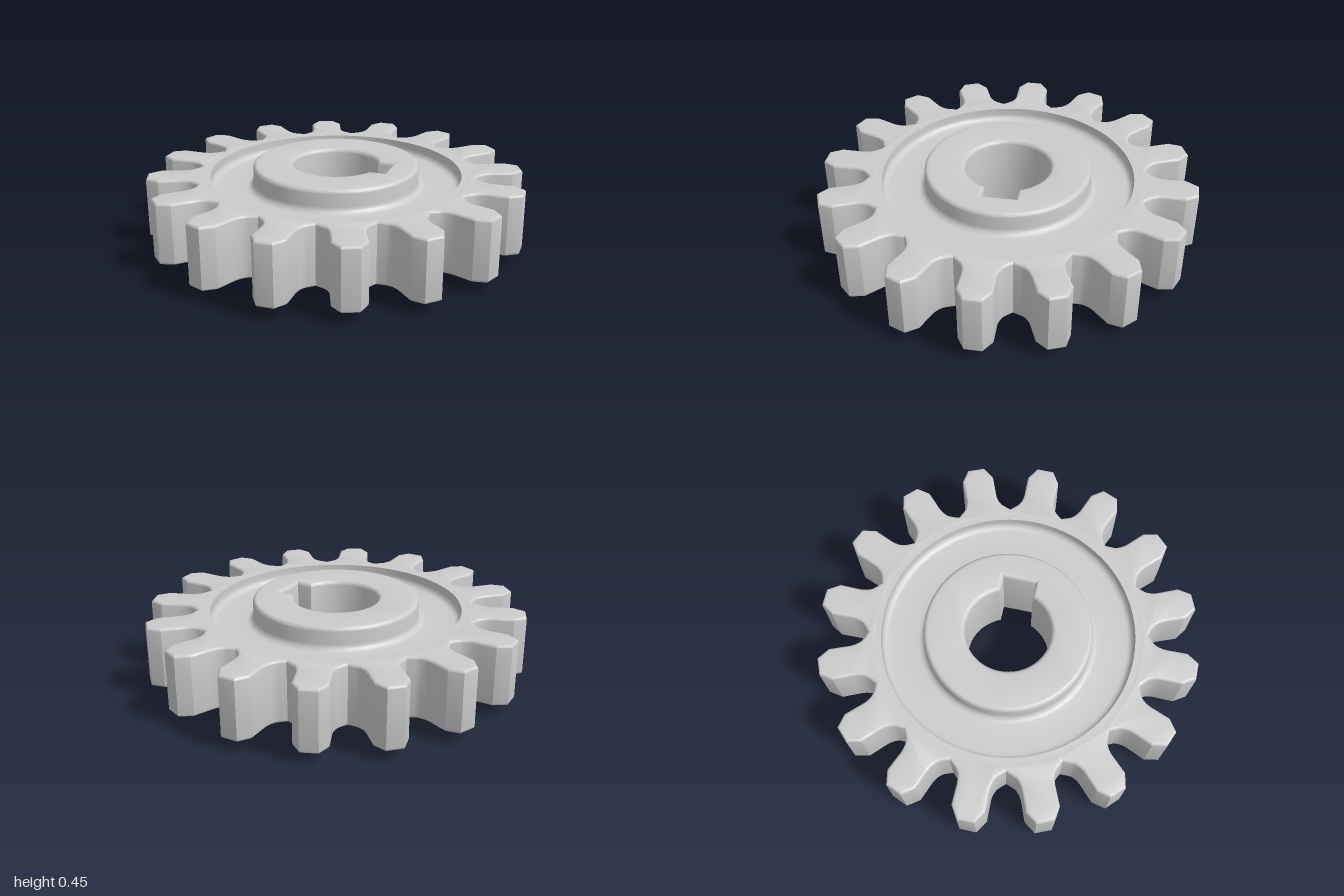
import * as THREE from 'three';
import { toCreasedNormals } from 'three/addons/utils/BufferGeometryUtils.js';

const TEETH = 16;
const SEGMENTS = 96;
const RIM_BOTTOM = 0.065, RIM_TOP = 0.39, HUB_TOP = 0.445;
const HUB_RADIUS = 0.44, BORE_RADIUS = 0.225;
const RECESS_RADIUS = 0.665, RECESS_DEPTH = 0.07, FILLET = 0.035;
const SEAM_RADIUS = 0.695;

// Points of an arc from angle a to angle b, both ends included
function arc(cx, cy, radius, a, b, steps) {
  return Array.from({ length: steps + 1 }, (_, i) => {
    const t = a + ((b - a) * i) / steps;
    return new THREE.Vector2(cx + radius * Math.cos(t), cy + radius * Math.sin(t));
  });
}

const circle = (radius) => arc(0, 0, radius, 0, Math.PI * 2, SEGMENTS).slice(0, -1);

// Upright plate between two heights, with rounded edges that keep the outline size
function plate(shape, bottom, top, bevel) {
  const geometry = new THREE.ExtrudeGeometry(shape, {
    depth: top - bottom - 2 * bevel,
    bevelThickness: bevel, bevelSize: bevel, bevelOffset: -bevel, bevelSegments: 4,
  });
  geometry.rotateX(-Math.PI / 2).translate(0, bottom + bevel, 0);
  return toCreasedNormals(geometry, 0.45);
}

// Closed outline of all the teeth: flat tip, slanted shoulders, curved flanks and roots
function toothOutline() {
  const halfPitch = Math.PI / TEETH;
  const rootRadius = 0.735;
  const flank = new THREE.SplineCurve([
    new THREE.Vector2(0.935, 0.086),
    new THREE.Vector2(0.87, 0.085),
    new THREE.Vector2(0.81, 0.085),
    new THREE.Vector2(0.765, 0.099),
    new THREE.Vector2(0.738, 0.124),
    new THREE.Vector2(rootRadius * Math.cos(halfPitch), rootRadius * Math.sin(halfPitch)),
  ]).getPoints(14);
  const half = [new THREE.Vector2(1, 0.045), ...flank];
  const mirrored = half.slice(0, -1).reverse().map((p) => new THREE.Vector2(p.x, -p.y));
  const tooth = [...mirrored, ...half];
  const origin = new THREE.Vector2();
  const outline = [];
  for (let i = 0; i < TEETH; i++) {
    for (const p of tooth) outline.push(p.clone().rotateAround(origin, i * 2 * halfPitch));
  }
  return outline;
}

export function createModel() {
  const group = new THREE.Group();
  const material = new THREE.MeshStandardMaterial({ color: 0xcccccc });
  const add = (name, geometry) => {
    const mesh = new THREE.Mesh(geometry, material);
    mesh.name = name;
    group.add(mesh);
  };

  // Toothed rim; its hole edge flares out to the seam with the web
  const edge = 0.014;
  const rim = new THREE.Shape(toothOutline());
  rim.holes.push(new THREE.Path(circle(SEAM_RADIUS - edge).reverse()));
  add('toothedRim', plate(rim, RIM_BOTTOM, RIM_TOP, edge));

  // Recessed web on both faces, filleted into the rim and the hub
  const floor = RIM_TOP - RECESS_DEPTH;
  const upper = [
    new THREE.Vector2(SEAM_RADIUS, RIM_TOP),
    new THREE.Vector2(RECESS_RADIUS, RIM_TOP),
    ...arc(RECESS_RADIUS - FILLET, floor + FILLET, FILLET, 0, -Math.PI / 2, 6),
    ...arc(HUB_RADIUS + FILLET, floor + FILLET, FILLET, -Math.PI / 2, -Math.PI, 6),
  ];
  const lower = upper.map((p) => new THREE.Vector2(p.x, RIM_BOTTOM + RIM_TOP - p.y)).reverse();
  add('upperWeb', toCreasedNormals(new THREE.LatheGeometry(upper, SEGMENTS), 0.5));
  add('lowerWeb', toCreasedNormals(new THREE.LatheGeometry(lower, SEGMENTS), 0.5));

  // Hub with a bore and a square keyway on the +x side
  const keyHalf = 0.087, keyDepth = 0.29;
  const keyAngle = Math.asin(keyHalf / BORE_RADIUS);
  const bore = [
    ...arc(0, 0, BORE_RADIUS, keyAngle, Math.PI * 2 - keyAngle, 72),
    new THREE.Vector2(keyDepth, -keyHalf),
    new THREE.Vector2(keyDepth, keyHalf),
  ];
  const hub = new THREE.Shape(circle(HUB_RADIUS));
  hub.holes.push(new THREE.Path(bore.reverse()));
  add('hub', plate(hub, 0, HUB_TOP, 0.022));

  return group;
}
